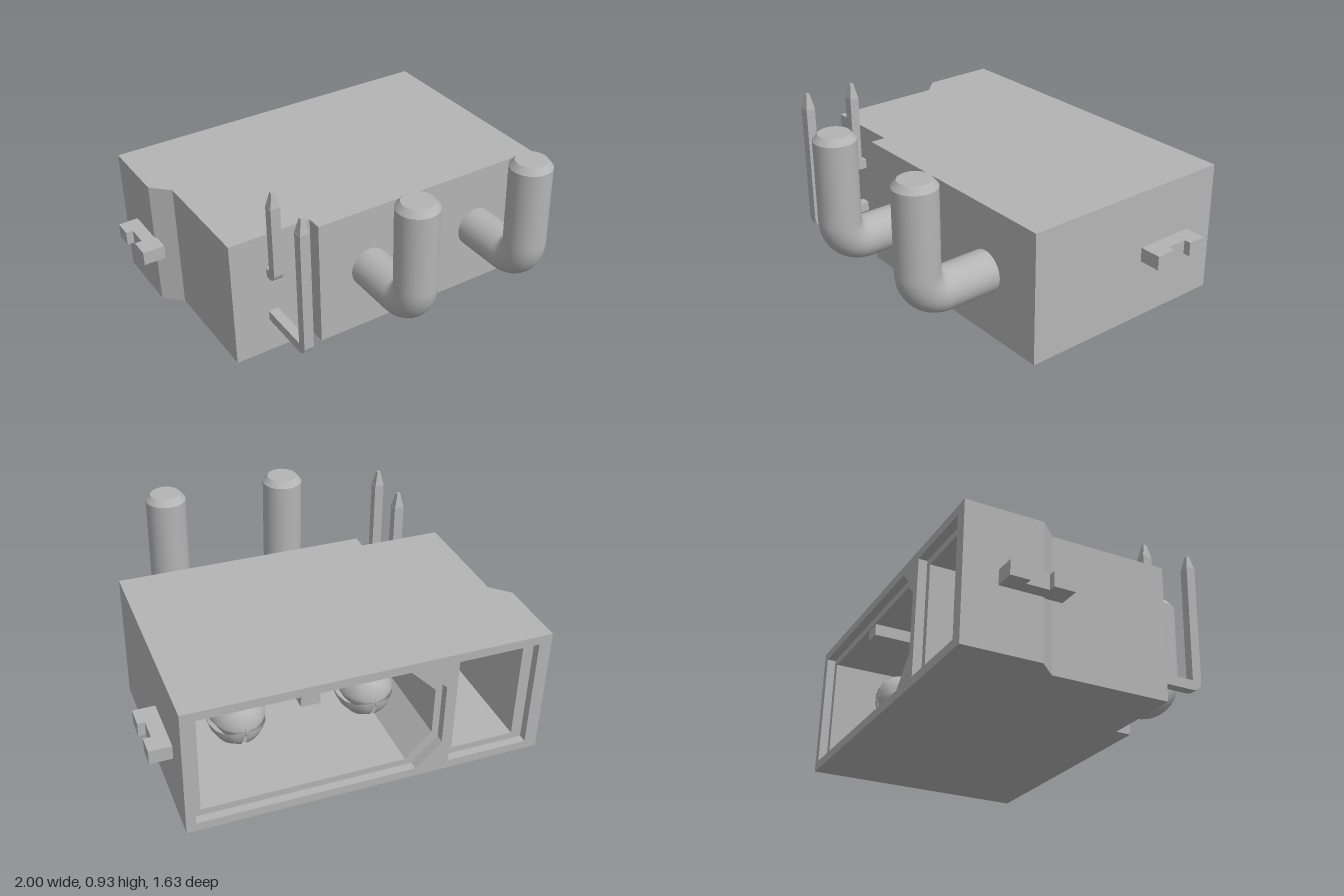
import * as THREE from 'three';

export function createModel() {
  const grey = new THREE.MeshStandardMaterial({ color: 0xb4b4b4, side: THREE.DoubleSide });
  grey.name = 'plain grey';

  const model = new THREE.Group();
  // the whole part sits with a very slight tilt
  const tilt = new THREE.Group();
  tilt.name = 'connector';
  tilt.position.y = 0.35;
  tilt.rotation.set(0.003, -0.008, 0.013);
  model.add(tilt);
  const parts = new THREE.Group();
  parts.name = 'connectorParts';
  parts.position.y = -0.35;
  tilt.add(parts);

  const add = (name, geo, x = 0, y = 0, z = 0, parent = parts) => {
    const m = new THREE.Mesh(geo, grey);
    m.name = name;
    m.position.set(x, y, z);
    parent.add(m);
    return m;
  };
  const polygon = (pts) => new THREE.Shape(pts.map(([x, y]) => new THREE.Vector2(x, y)));
  // outline given as [x, z], raised from y0 to y1
  const planPrism = (pts, y0, y1) =>
    new THREE.ExtrudeGeometry(polygon(pts.map(([x, z]) => [x, -z])), { depth: y1 - y0, bevelEnabled: false })
      .rotateX(-Math.PI / 2).translate(0, y0, 0);

  const bottom = 0.014, top = 0.684, left = 0.886, right = -0.9, inner = -0.812;
  const back = -0.808, lip = -0.765, floorZ = 0.08;

  // housing slice with the two sockets, inset shrinks the openings
  const socketSlice = (x0, z0, z1, inset) => {
    const s = polygon([[x0, bottom], [left, bottom], [left, top], [x0, top]]);
    const y0 = bottom + 0.045 + inset, y1 = top - 0.045 - inset;
    const a = -0.37 + inset, b = 0.84 - inset, c = 0.13;
    s.holes.push(polygon([[a, y0 + c], [a, y1 - c], [a + c, y1], [b, y1], [b, y0], [a + c, y0]]));
    const p = -0.835 + inset * 1.6, q = -0.415 - inset;
    s.holes.push(polygon([[p, y0], [p, y1], [q, y1], [q, y0]]));
    return new THREE.ExtrudeGeometry(s, { depth: z1 - z0, bevelEnabled: false }).translate(0, 0, z0);
  };
  add('socketRim', socketSlice(right, back, lip, 0));
  add('socketHousing', socketSlice(inner, lip, floorZ, 0.035));

  // thick side wall with an angled end
  add('sideShoulder', planPrism([[inner, lip], [right, lip], [right, -0.43], [inner, -0.342]], bottom, top));

  // solid front with a stepped face
  add('frontBlock', planPrism(
    [[inner, floorZ], [left, floorZ], [left, 0.323], [-0.388, 0.323], [-0.388, 0.245], [inner, 0.245]], bottom, top));

  // keying rib under the socket roof
  add('keyRib', new THREE.BoxGeometry(0.09, 0.09, 0.84), 0.28, 0.59, -0.34);

  // notched side tabs
  const tab = (name, x0, x1, notch) => add(name, planPrism(
    [[x0, -0.642], [x1, -0.642], [x1, -0.548], [notch, -0.548],
      [notch, -0.438], [x1, -0.438], [x1, -0.335], [x0, -0.335]], 0.318, 0.39));
  tab('leftTab', left - 0.01, 0.996, 0.96);
  tab('rightTab', right + 0.01, -1.003, -0.967);

  // bent power pins with split round contacts
  const r = 0.104, bend = 0.13, axisY = 0.351, pinZ = 0.7;
  const contactProfile = [[0.104, -0.28], [0.104, 0.3], [0.125, 0.36], [0.137, 0.43], [0.137, 0.48],
    [0.122, 0.54], [0.09, 0.585], [0.05, 0.61], [0, 0.617]].map(([x, y]) => new THREE.Vector2(x, y));
  const coreProfile = contactProfile.map((p) => new THREE.Vector2(p.x * 0.8, p.y * 0.96));
  for (const [name, x] of [['rightPowerPin', -0.103], ['leftPowerPin', 0.539]]) {
    const pin = new THREE.Group();
    pin.name = name;
    pin.position.x = x;
    parts.add(pin);
    const elbowY = axisY + bend, elbowZ = pinZ - bend;
    add('pinStem', new THREE.CylinderGeometry(r, r, 0.895 - elbowY, 32, 1, true), 0, (0.895 + elbowY) / 2, pinZ, pin);
    add('pinTip', new THREE.CylinderGeometry(0.078, r, 0.032, 32), 0, 0.911, pinZ, pin);
    add('pinElbow', new THREE.TorusGeometry(bend, r, 32, 16, Math.PI / 2)
      .rotateZ(-Math.PI / 2).rotateY(-Math.PI / 2), 0, elbowY, elbowZ, pin);
    add('pinShank', new THREE.CylinderGeometry(r, r, elbowZ - floorZ, 32, 1, true).rotateX(Math.PI / 2),
      0, axisY, (elbowZ + floorZ) / 2, pin);
    for (let i = 0; i < 4; i++) {
      const start = i * Math.PI / 2 + 0.14;
      add('contactLeaf', new THREE.LatheGeometry(contactProfile, 8, start, Math.PI / 2 - 0.28)
        .rotateX(-Math.PI / 2), 0, axisY, 0, pin);
    }
    add('contactCore', new THREE.LatheGeometry(coreProfile, 24).rotateX(-Math.PI / 2), 0, axisY, 0, pin);
  }

  // thin bent signal pins with pointed tips
  const signalPin = (name, z, y, tipTop) => {
    const h = 0.024, w = 0.05, c = 0.05, shoulder = tipTop - 0.075, end = -0.4;
    const s = new THREE.Shape();
    s.moveTo(end, y);
    s.lineTo(z + h - c, y);
    s.absarc(z + h - c, y + c, c, -Math.PI / 2, 0, false);
    s.lineTo(z + h, shoulder);
    s.lineTo(z - h, shoulder);
    s.lineTo(z - h, y + w);
    s.lineTo(end, y + w);
    const g = new THREE.Group();
    g.name = name;
    g.position.x = -0.602;
    parts.add(g);
    add('signalBlade', new THREE.ExtrudeGeometry(s, { depth: w, bevelEnabled: false, curveSegments: 8 })
      .translate(0, 0, -w / 2).rotateY(-Math.PI / 2), 0, 0, 0, g);
    const tip = new THREE.CylinderGeometry(0.012, h * Math.SQRT2, 0.075, 4).rotateY(Math.PI / 4).toNonIndexed();
    tip.computeVertexNormals();
    add('signalTip', tip, 0, tipTop - 0.0375, z, g);
  };
  signalPin('frontSignalPin', 0.552, 0.198, 0.936);
  signalPin('rearSignalPin', 0.295, 0.45, 0.93);

  return model;
}
